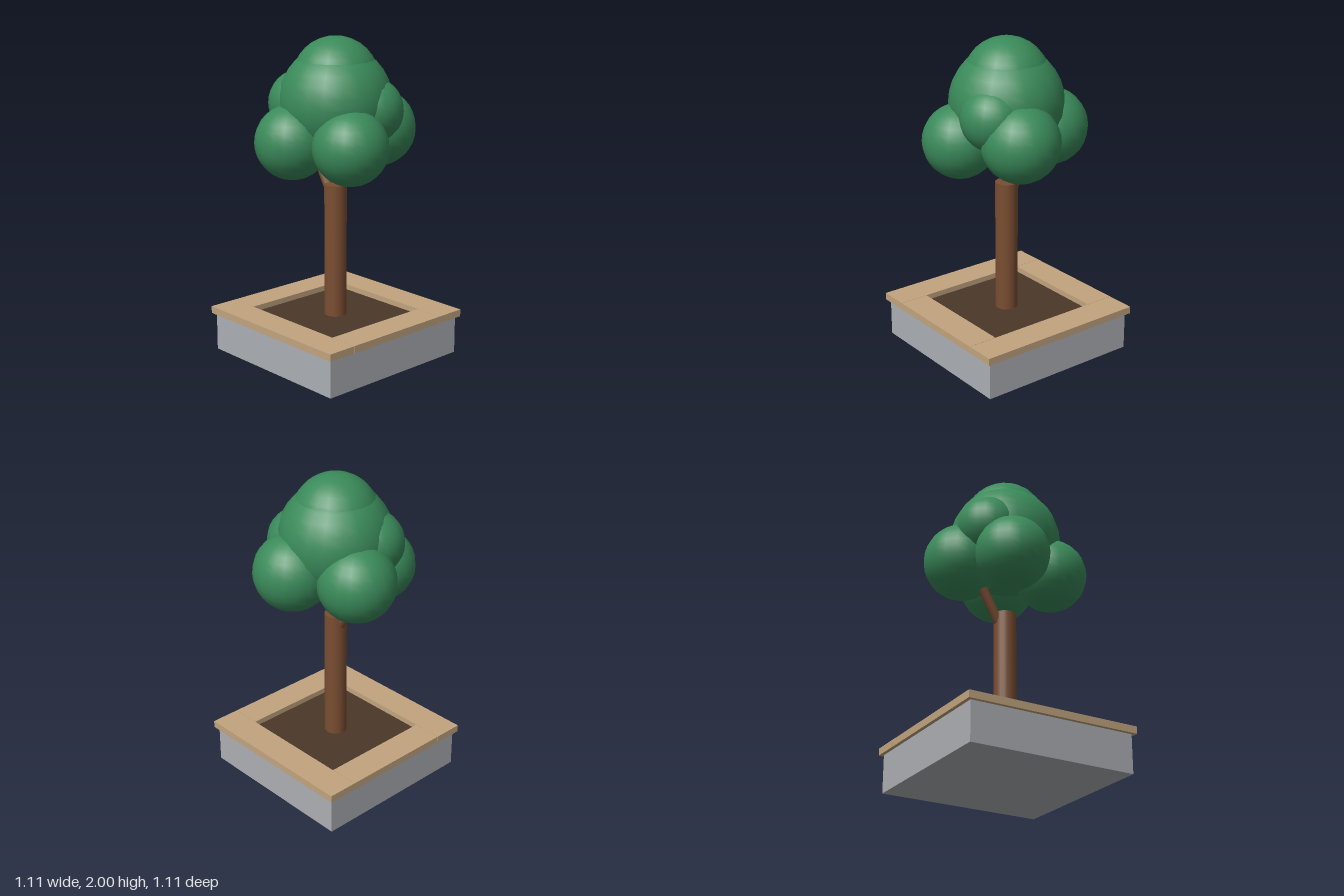
import * as THREE from 'three';

export function createModel() {
  const model = new THREE.Group();
  model.name = 'plantedTree';

  const paint = (name, color) => {
    const m = new THREE.MeshStandardMaterial({ color });
    m.name = name;
    return m;
  };
  const concrete = paint('concrete grey', 0xacafb4);
  const timber = paint('bench timber', 0xc2a47f);
  const soilBrown = paint('soil brown', 0x4a3728);
  const bark = paint('bark brown', 0x7a4e32);
  const leaf = paint('leaf green', 0x3a8a5a);

  const add = (name, geometry, material, x, y, z) => {
    const mesh = new THREE.Mesh(geometry, material);
    mesh.name = name;
    mesh.position.set(x, y, z);
    model.add(mesh);
    return mesh;
  };

  // Planter block with a bed of soil on top
  add('planterBase', new THREE.BoxGeometry(1.064, 0.24, 1.064), concrete, 0, 0.12, 0);
  add('soil', new THREE.BoxGeometry(0.74, 0.03, 0.74), soilBrown, 0, 0.235, 0);

  // Seat planks: two full-width ones, two shorter ones between them
  for (const s of [1, -1]) {
    add(s > 0 ? 'frontPlank' : 'backPlank',
      new THREE.BoxGeometry(1.11, 0.045, 0.188), timber, 0, 0.2625, s * 0.461);
    add(s > 0 ? 'leftPlank' : 'rightPlank',
      new THREE.BoxGeometry(0.188, 0.045, 0.73), timber, s * 0.461, 0.2625, 0);
  }

  // Trunk and side branch
  add('trunk', new THREE.CylinderGeometry(0.07, 0.07, 0.85, 20), bark, 0, 0.665, 0);
  const from = new THREE.Vector3(-0.028, 1.0, 0);
  const to = new THREE.Vector3(-0.16, 1.23, 0);
  const branch = add('branch',
    new THREE.CylinderGeometry(0.03, 0.03, from.distanceTo(to), 12), bark,
    (from.x + to.x) / 2, (from.y + to.y) / 2, 0);
  branch.quaternion.setFromUnitVectors(
    new THREE.Vector3(0, 1, 0), to.clone().sub(from).normalize());

  // Foliage clumps: name, x, y, z, radius
  const clumps = [
    ['crownMiddle', 0, 1.6, 0, 0.35],
    ['crownTop', 0, 1.733, 0, 0.267],
    ['frontClump', -0.1, 1.375, 0.26, 0.23],
    ['leftClump', 0.26, 1.375, 0.12, 0.23],
    ['rightClump', -0.265, 1.42, -0.08, 0.24],
    ['backClump', 0.095, 1.425, -0.26, 0.24],
    ['upperRightClump', -0.185, 1.59, 0.115, 0.2],
    ['upperLeftClump', 0.187, 1.56, -0.115, 0.2],
  ];
  for (const [name, x, y, z, r] of clumps) {
    add(name, new THREE.SphereGeometry(r, 20, 16), leaf, x, y, z);
  }

  return model;
}
